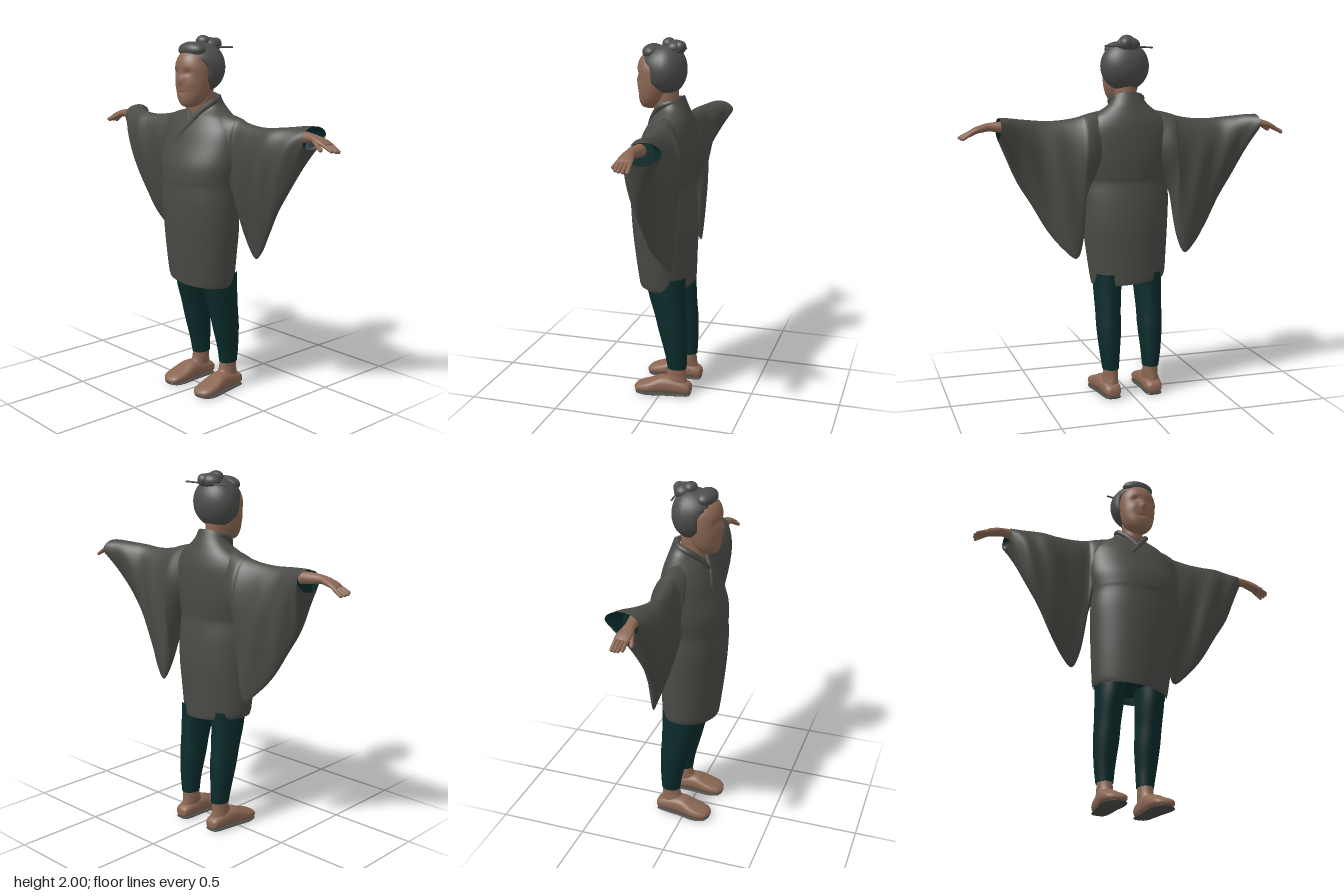
import * as THREE from 'three';
import { mergeGeometries } from 'three/addons/utils/BufferGeometryUtils.js';

const mat = (name, color) => {
  const m = new THREE.MeshStandardMaterial({ color });
  m.name = name;
  return m;
};

// Catmull-Rom smoothing of section rows, k steps between neighbours
function smooth(rows, k = 5) {
  const out = [], last = rows.length - 1;
  const at = (i) => rows[Math.max(0, Math.min(last, i))];
  for (let i = 0; i < last; i++) {
    for (let s = 0; s < k; s++) {
      const t = s / k;
      out.push(rows[i].map((b, c) => {
        const a = at(i - 1)[c], d = at(i + 1)[c], e = at(i + 2)[c];
        return b + 0.5 * t * (d - a + t * (2 * a - 5 * b + 4 * d - e + t * (3 * (b - d) + e - a)));
      }));
    }
  }
  out.push(rows[last]);
  return out;
}

// Surface through rings; point(row, angle) gives each vertex
function loft(rows, point, { n = 32, capStart = false, capEnd = false, flip = false } = {}) {
  const pos = [], idx = [];
  rows.forEach((row) => {
    for (let j = 0; j < n; j++) pos.push(...point(row, (j / n) * Math.PI * 2));
  });
  const tri = (a, b, c) => (flip ? idx.push(a, c, b) : idx.push(a, b, c));
  for (let i = 0; i < rows.length - 1; i++) {
    for (let j = 0; j < n; j++) {
      const a = i * n + j, b = i * n + ((j + 1) % n);
      tri(a, a + n, b);
      tri(b, a + n, b + n);
    }
  }
  const cap = (r, end) => {
    const c = [0, 0, 0], start = pos.length / 3;
    for (let j = 0; j < n; j++) {
      const p = pos.slice((r * n + j) * 3, (r * n + j) * 3 + 3);
      pos.push(...p);
      p.forEach((v, k) => { c[k] += v / n; });
    }
    pos.push(...c);
    for (let j = 0; j < n; j++) {
      const a = start + j, b = start + ((j + 1) % n);
      if (end) tri(a, start + n, b); else tri(b, start + n, a);
    }
  };
  if (capStart) cap(0, false);
  if (capEnd) cap(rows.length - 1, true);
  const g = new THREE.BufferGeometry();
  g.setAttribute('position', new THREE.Float32BufferAttribute(pos, 3));
  g.setIndex(idx);
  g.computeVertexNormals();
  return g;
}

// Section rules: rings stacked along y, x and z
const alongY = ([y, cx, rx, zb, zf], a) => [cx + rx * Math.cos(a), y, (zb + zf) / 2 + ((zf - zb) / 2) * Math.sin(a)];
const alongX = ([x, yc, zc, h, w], a) => [x, yc + h * Math.cos(a), zc - w * Math.sin(a)];
const alongZ = ([z, xc, y0, y1, w], a) => {
  const s = Math.sin(a), c = Math.cos(a);
  return [xc + w * Math.sign(c) * Math.abs(c) ** 0.75, (y0 + y1) / 2 - ((y1 - y0) / 2) * Math.sign(s) * Math.abs(s) ** 0.8, z];
};

const ball = (x, y, z, rx, ry, rz) => new THREE.SphereGeometry(1, 28, 20).scale(rx, ry, rz).translate(x, y, z);

// Rounded rod between two points
function rod(a, b, r) {
  const p = new THREE.Vector3(...a), q = new THREE.Vector3(...b), d = q.clone().sub(p);
  const turn = new THREE.Quaternion().setFromUnitVectors(new THREE.Vector3(0, 1, 0), d.clone().normalize());
  return new THREE.CapsuleGeometry(r, d.length(), 5, 10).applyQuaternion(turn)
    .translate(...p.add(q).multiplyScalar(0.5).toArray());
}

function mirrored(geo) {
  const g = geo.clone().scale(-1, 1, 1), i = g.index.array;
  for (let k = 0; k < i.length; k += 3) [i[k + 1], i[k + 2]] = [i[k + 2], i[k + 1]];
  g.computeVertexNormals();
  return g;
}

export function createModel() {
  const group = new THREE.Group();
  const coat = mat('charcoal cloth', 0x4a4a46), hairMat = mat('grey hair', 0x4c4e4b);
  const skin = mat('skin', 0x8b6753), teal = mat('dark teal', 0x0b2b2b);
  const add = (name, geo, m) => {
    const mesh = new THREE.Mesh(geo, m);
    mesh.name = name;
    group.add(mesh);
  };
  const addPair = (name, geo, m) => {
    add(name + 'Left', geo, m);
    add(name + 'Right', mirrored(geo), m);
  };

  // Coat body, with a slightly slanted hem and a neckline dipping to the front
  const coatRows = smooth([
    [0.645, -0.01, 0.205, -0.155, 0.155], [0.68, -0.01, 0.215, -0.158, 0.16], [0.8, -0.005, 0.228, -0.162, 0.175],
    [0.95, 0, 0.242, -0.167, 0.19], [1.1, 0, 0.25, -0.158, 0.198], [1.2, 0, 0.245, -0.145, 0.195],
    [1.24, 0, 0.25, -0.148, 0.197], [1.32, 0, 0.265, -0.155, 0.187], [1.42, 0, 0.265, -0.155, 0.15],
    [1.5, 0, 0.25, -0.15, 0.118], [1.56, 0, 0.205, -0.137, 0.085], [1.6, 0, 0.145, -0.122, 0.062],
    [1.63, 0, 0.105, -0.107, 0.052], [1.665, 0, 0.088, -0.09, 0.045],
  ]);
  const coatPoint = (row, a) => {
    const [x, y, z] = alongY(row, a);
    const slant = 0.09 * x * Math.max(0, 1 - (y - 0.645) / 0.2);
    const dip = 0.03 * Math.sin(a) * THREE.MathUtils.smoothstep(y, 1.57, 1.665);
    return [x, y - slant - dip, z];
  };
  add('coatBody', loft(coatRows, coatPoint, { n: 48 }), coat);
  const lining = [[0.645, -0.01, 0.2, -0.15, 0.15], [0.69, -0.01, 0.2, -0.15, 0.15]];
  add('coatLining', loft(lining, coatPoint, { n: 48, flip: true, capEnd: true }), teal);

  // Crossed collar bands
  const band = (pts) => new THREE.TubeGeometry(new THREE.CatmullRomCurve3(pts.map((p) => new THREE.Vector3(...p))), 24, 0.016, 8);
  add('collarOver', band([[0, 1.675, -0.085], [0.075, 1.665, -0.045], [0.085, 1.645, 0.01], [0.05, 1.6, 0.058], [0, 1.525, 0.1], [-0.06, 1.45, 0.125]]), coat);
  add('collarUnder', band([[0, 1.675, -0.085], [-0.075, 1.665, -0.045], [-0.085, 1.645, 0.01], [-0.05, 1.6, 0.058], [0, 1.53, 0.095]]), coat);

  // Wide hanging sleeves: x, top y, bottom y, top z, bottom z, top and bottom half width
  const sleeveRows = smooth([
    [0.12, 1.6, 1.3, -0.02, -0.02, 0.08, 0.08], [0.2, 1.585, 1.22, -0.03, -0.04, 0.1, 0.09],
    [0.25, 1.572, 1.1, -0.035, -0.06, 0.11, 0.08], [0.27, 1.565, 0.9, -0.035, -0.09, 0.11, 0.05],
    [0.31, 1.555, 0.8, -0.03, -0.11, 0.11, 0.025], [0.38, 1.545, 0.85, -0.025, -0.09, 0.105, 0.03],
    [0.46, 1.542, 0.95, -0.02, -0.05, 0.1, 0.04], [0.54, 1.548, 1.09, -0.025, -0.03, 0.1, 0.045],
    [0.62, 1.557, 1.22, -0.055, -0.03, 0.1, 0.045], [0.68, 1.565, 1.35, -0.09, -0.055, 0.1, 0.06],
    [0.725, 1.567, 1.45, -0.11, -0.085, 0.095, 0.08],
  ]);
  const sleevePoint = (inset) => ([x, yt, yb, zt, zb, wt, wb], a) => {
    const t = (1 - Math.cos(a)) / 2, w = wt + (wb - wt) * t - inset;
    const fold = 0.007 * Math.sin(x * 38 + t * 5) * Math.sin(t * Math.PI);
    return [x, yt - inset + (yb - yt + 2 * inset) * t, zt + (zb - zt) * t - w * Math.sin(a) + fold];
  };
  addPair('sleeve', loft(sleeveRows, sleevePoint(0), { n: 44 }), coat);
  addPair('sleeveLining', loft(sleeveRows.slice(-9), sleevePoint(0.003), { n: 44, flip: true, capStart: true }), teal);

  // Forearm, palm, fingers and thumb
  const arm = loft(smooth([
    [0.6, 1.51, -0.06, 0.035, 0.035], [0.7, 1.515, -0.05, 0.03, 0.032], [0.76, 1.517, -0.045, 0.023, 0.027],
    [0.8, 1.51, -0.045, 0.021, 0.035], [0.84, 1.5, -0.048, 0.017, 0.04], [0.87, 1.488, -0.05, 0.011, 0.036],
  ]), alongX, { n: 20, capEnd: true });
  addPair('arm', arm, skin);
  const digits = [0, 1, 2, 3].map((i) => {
    const z = -0.022 - i * 0.019, tip = 0.921 - Math.abs(i - 1.3) * 0.009;
    return rod([0.855, 1.492, z], [tip, 1.468 - i * 0.003, z - 0.002], 0.0095);
  });
  digits.push(rod([0.8, 1.505, -0.02], [0.862, 1.472, 0.002], 0.011));
  addPair('fingers', mergeGeometries(digits), skin);

  // Leggings
  addPair('legging', loft(smooth([
    [0.16, 0.117, 0.046, -0.145, -0.035], [0.25, 0.12, 0.056, -0.148, -0.02], [0.38, 0.12, 0.068, -0.148, 0.015],
    [0.48, 0.12, 0.07, -0.14, 0.04], [0.6, 0.118, 0.076, -0.135, 0.075], [0.7, 0.115, 0.08, -0.135, 0.09],
  ]), alongY, { n: 28, capStart: true }), teal);

  // Ankles, slippers and soles
  addPair('ankle', loft(smooth([
    [0.03, 0.12, 0.045, -0.155, -0.01], [0.08, 0.12, 0.044, -0.15, -0.005], [0.12, 0.117, 0.042, -0.142, -0.03], [0.18, 0.117, 0.041, -0.14, -0.038],
  ]), alongY, { n: 24 }), skin);
  addPair('slipper', loft(smooth([
    [-0.175, 0.12, 0.025, 0.05, 0.015], [-0.16, 0.12, 0.014, 0.075, 0.042], [-0.09, 0.122, 0.012, 0.1, 0.052],
    [-0.01, 0.128, 0.01, 0.108, 0.058], [0.06, 0.133, 0.008, 0.08, 0.067], [0.12, 0.133, 0.008, 0.058, 0.06],
    [0.145, 0.13, 0.011, 0.045, 0.042], [0.157, 0.128, 0.02, 0.032, 0.015],
  ]), alongZ, { n: 24, capStart: true, capEnd: true }), skin);
  addPair('sole', loft(smooth([
    [-0.168, 0.12, 0.004, 0.013, 0.02], [-0.15, 0.12, 0.003, 0.016, 0.045], [-0.02, 0.128, 0.001, 0.013, 0.056],
    [0.07, 0.133, 0, 0.011, 0.067], [0.13, 0.132, 0.001, 0.012, 0.054], [0.152, 0.128, 0.005, 0.016, 0.02],
  ]), alongZ, { n: 20, capStart: true, capEnd: true }), coat);

  // Neck and face, with shallow eye sockets
  add('neck', loft(smooth([
    [1.54, 0, 0.075, -0.08, 0.06], [1.6, 0, 0.064, -0.07, 0.074], [1.65, 0, 0.06, -0.06, 0.08], [1.74, 0, 0.062, -0.06, 0.09],
  ]), alongY, { n: 24 }), skin);
  const face = loft(smooth([
    [1.622, 0.005, 0.022, 0.075, 0.125], [1.635, 0.005, 0.052, 0.045, 0.145], [1.67, 0.005, 0.08, 0.01, 0.157],
    [1.72, 0.005, 0.097, -0.01, 0.16], [1.78, 0.005, 0.104, -0.02, 0.162], [1.84, 0.005, 0.103, -0.02, 0.165],
    [1.89, 0.005, 0.085, -0.01, 0.15], [1.93, 0.005, 0.05, 0.02, 0.11],
  ], 7), alongY, { n: 56, capStart: true, capEnd: true });
  const fp = face.attributes.position;
  for (let i = 0; i < fp.count; i++) {
    if (fp.getZ(i) < 0.09) continue;
    const x = Math.abs(fp.getX(i) - 0.005), y = fp.getY(i);
    const bump = (cx, cy, sx, sy, d) => d * Math.exp(-(((x - cx) / sx) ** 2) - ((y - cy) / sy) ** 2);
    fp.setZ(i, fp.getZ(i) + bump(0.042, 1.808, 0.022, 0.016, -0.012) + bump(0, 1.768, 0.016, 0.025, 0.014)
      + bump(0, 1.702, 0.028, 0.007, -0.007) + bump(0.055, 1.75, 0.025, 0.025, 0.005));
  }
  face.computeVertexNormals();
  add('face', face, skin);

  // Hair, cut back around the face
  const cap = ball(0, 0, 0, 1, 1, 1), hp = cap.attributes.position;
  for (let i = 0; i < hp.count; i++) {
    const z = hp.getZ(i), y = 1.832 + 0.134 * hp.getY(i);
    const limit = 0.06 + 0.08 * THREE.MathUtils.smoothstep(y, 1.83, 1.92);
    hp.setXYZ(i, 0.004 + 0.134 * hp.getX(i), y, Math.min(z * (z > 0 ? 0.155 : 0.105), limit));
  }
  cap.computeVertexNormals();
  add('hair', cap, hairMat);
  add('frontRoll', ball(0.004, 1.924, 0.08, 0.092, 0.044, 0.056), hairMat);
  add('bun', mergeGeometries([
    ball(0, 1.947, -0.042, 0.066, 0.042, 0.052), ball(-0.005, 1.967, -0.005, 0.043, 0.033, 0.036), ball(0.02, 1.952, -0.075, 0.034, 0.034, 0.032),
  ]), hairMat);
  add('hairPin', rod([-0.13, 1.932, -0.065], [0.14, 1.938, -0.085], 0.005), hairMat);
  return group;
}
